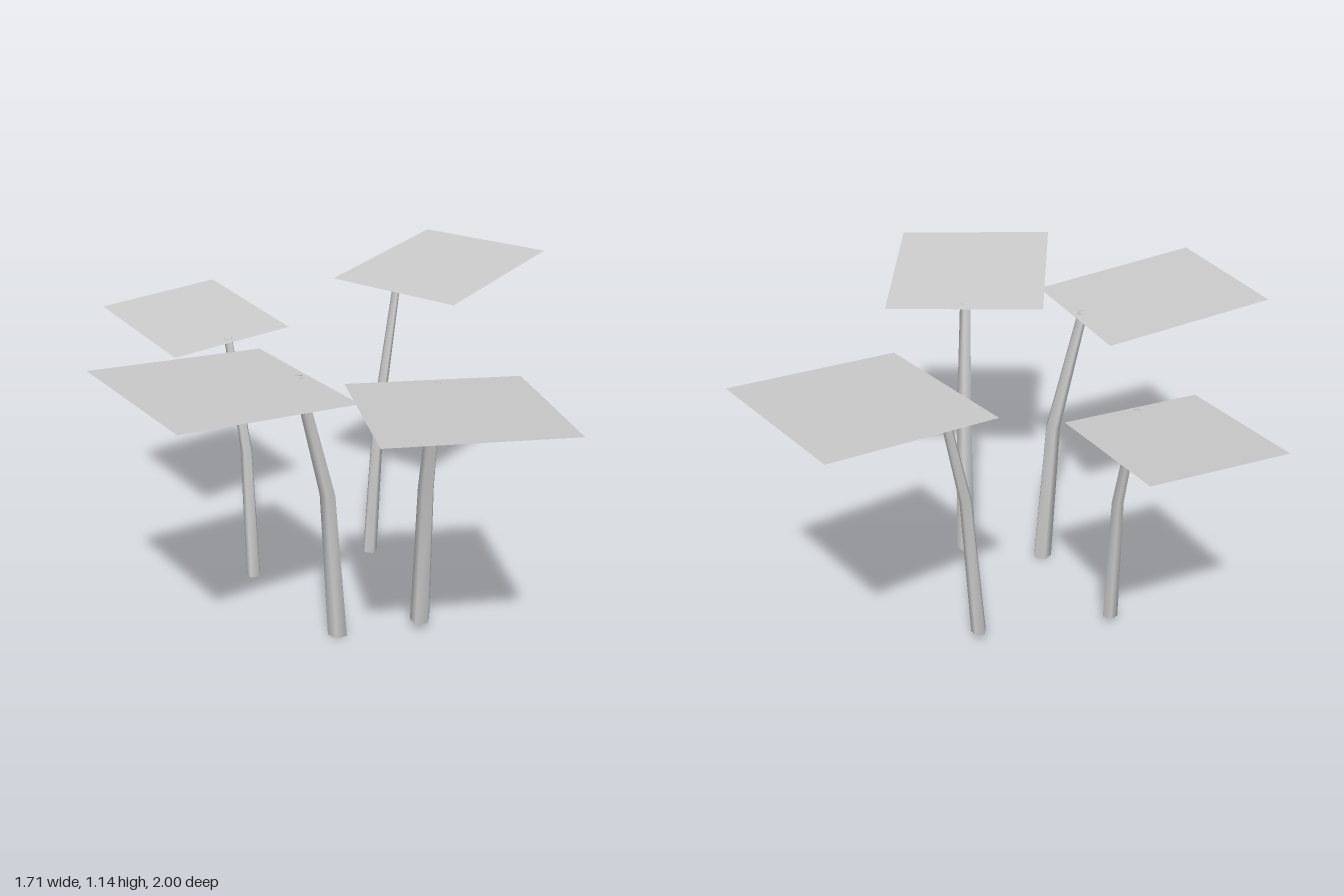
import * as THREE from 'three';
import { mergeVertices } from 'three/addons/utils/BufferGeometryUtils.js';

const SIDES = 5;

// Stem: an open five-sided tube through three centres [x, y, z, radius], base first
function makeStem(rings, phaseDegrees, material) {
  let geometry = new THREE.CylinderGeometry(1, 1, 1, SIDES, rings.length - 1, true);
  geometry.deleteAttribute('uv');
  geometry.deleteAttribute('normal');
  const pos = geometry.attributes.position;
  const turn = Math.PI / 2 - THREE.MathUtils.degToRad(phaseDegrees);
  for (let i = 0; i < pos.count; i++) {
    const row = Math.floor(i / (SIDES + 1));
    const angle = ((i % (SIDES + 1)) % SIDES) / SIDES * Math.PI * 2 + turn;
    const [x, y, z, r] = rings[rings.length - 1 - row];
    pos.setXYZ(i, x + r * Math.sin(angle), y, z + r * Math.cos(angle));
  }
  geometry = mergeVertices(geometry);
  geometry.computeVertexNormals();
  const mesh = new THREE.Mesh(geometry, material);
  mesh.name = 'stem';
  return mesh;
}

// Leaf: a single tilted panel, corners in order round its edge
function makeLeaf(corners, material) {
  const geometry = new THREE.BufferGeometry();
  geometry.setAttribute('position', new THREE.Float32BufferAttribute(corners.flat(), 3));
  geometry.setIndex([0, 2, 1, 0, 3, 2]);
  geometry.computeVertexNormals();
  const mesh = new THREE.Mesh(geometry, material);
  mesh.name = 'leaf';
  return mesh;
}

const PLANTS = [
  {
    name: 'backRightPlant', phase: 45,
    stem: [[-0.335, 0.03, -0.163, 0.028], [-0.345, 0.54, -0.192, 0.022], [-0.393, 0.945, -0.285, 0.015]],
    leaf: [[-0.85, 0.985, -0.59], [-0.43, 1.0, -0.835], [-0.165, 0.947, -0.38], [-0.587, 0.935, -0.135]],
  },
  {
    name: 'backLeftPlant', phase: 144,
    stem: [[0.133, 0.03, -0.298, 0.028], [0.165, 0.6, -0.325, 0.022], [0.237, 1.07, -0.4, 0.015]],
    leaf: [[0.025, 1.065, -0.58], [0.465, 1.13, -1.0], [0.85, 1.14, -0.595], [0.41, 1.073, -0.175]],
  },
  {
    name: 'frontRightPlant', phase: -40,
    stem: [[-0.06, 0.0, 0.247, 0.036], [-0.095, 0.57, 0.265, 0.028], [-0.195, 1.02, 0.315, 0.019]],
    leaf: [[-0.855, 1.08, 0.34], [-0.3, 1.02, 0.04], [-0.025, 1.01, 0.545], [-0.58, 1.07, 0.85]],
  },
  {
    name: 'frontLeftPlant', phase: -90,
    stem: [[0.24, 0.03, 0.24, 0.037], [0.24, 0.58, 0.285, 0.029], [0.24, 1.005, 0.4, 0.02]],
    leaf: [[-0.05, 1.005, 0.36], [0.53, 0.997, 0.34], [0.555, 1.055, 0.97], [-0.03, 1.063, 0.995]],
  },
];

export function createModel() {
  const material = new THREE.MeshStandardMaterial({ color: 0xcccccc, side: THREE.DoubleSide });
  const model = new THREE.Group();
  model.name = 'plants';
  for (const { name, phase, stem, leaf } of PLANTS) {
    const plant = new THREE.Group();
    plant.name = name;
    plant.add(makeStem(stem, phase, material), makeLeaf(leaf, material));
    model.add(plant);
  }
  return model;
}
